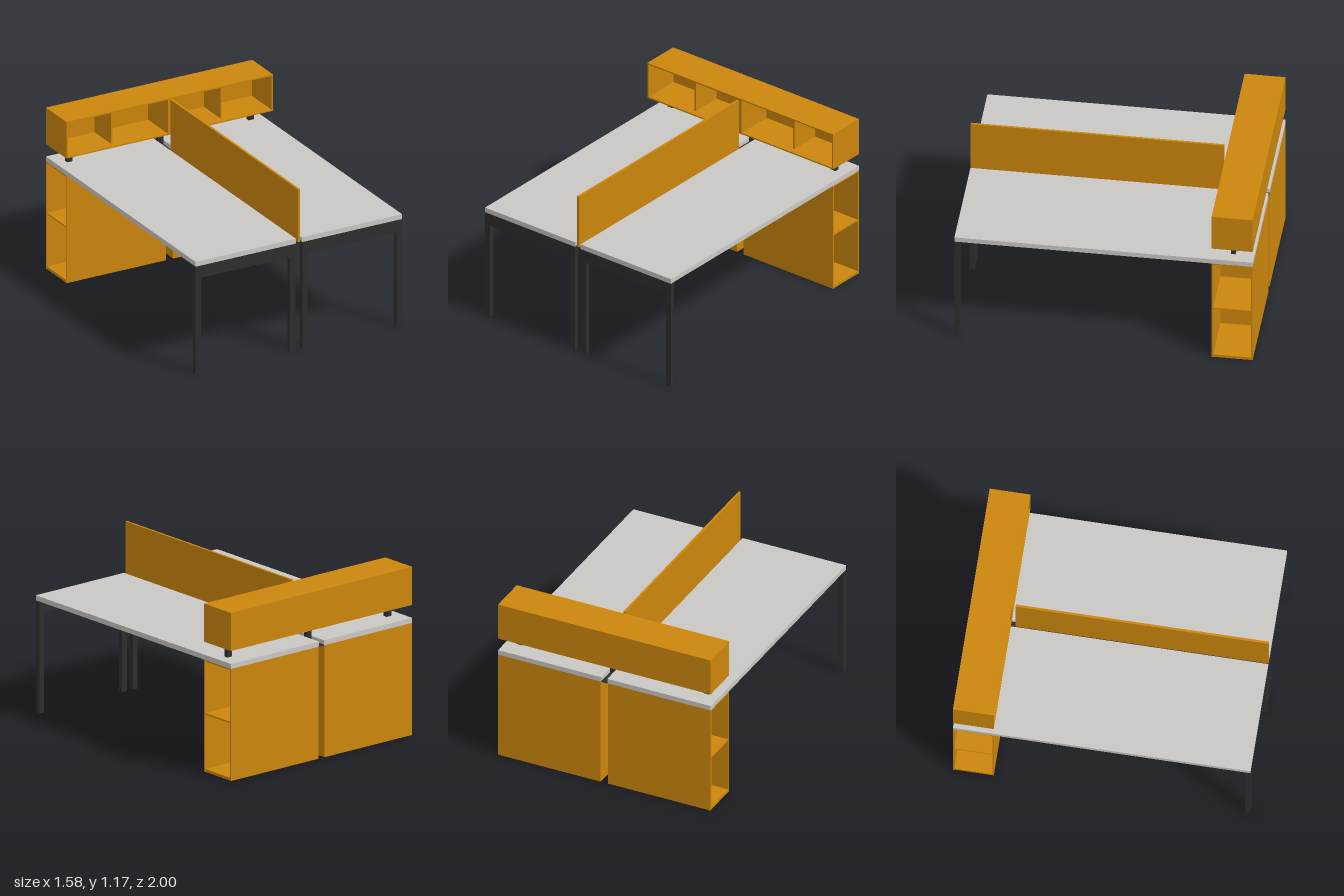
import * as THREE from 'three';

export function createModel() {
  const model = new THREE.Group();
  const mat = (name, color) => {
    const m = new THREE.MeshStandardMaterial({ color });
    m.name = name;
    return m;
  };
  const orange = mat('orange panel', 0xcc860c);
  const grey = mat('light grey top', 0xc9c8c4);
  const dark = mat('dark metal', 0x2e2e2e);

  // Box given by its limits; side mirrors it in x
  function box(parent, name, material, x0, x1, y0, y1, z0, z1, side = 1) {
    const geo = new THREE.BoxGeometry(x1 - x0, y1 - y0, z1 - z0);
    const mesh = new THREE.Mesh(geo, material);
    mesh.name = name;
    mesh.position.set(side * (x0 + x1) / 2, (y0 + y1) / 2, (z0 + z1) / 2);
    parent.add(mesh);
  }

  const IN = 0.027, OUT = 0.79; // inner and outer edge of each desk
  const BACK = -1, FACE = -0.725; // depth range of the storage units
  const T = 0.01; // panel thickness

  for (const s of [1, -1]) {
    const label = s > 0 ? 'left' : 'right';
    const desk = new THREE.Group();
    desk.name = label + 'Desk';
    model.add(desk);

    // Worktop and front leg frame
    box(desk, 'worktop', grey, 0.022, OUT, 0.78, 0.815, -1, 1, s);
    box(desk, 'innerLeg', dark, IN, 0.067, 0, 0.78, 0.965, 1, s);
    box(desk, 'outerLeg', dark, 0.748, OUT, 0, 0.78, 0.965, 1, s);
    box(desk, 'frontRail', dark, 0.067, 0.748, 0.69, 0.78, 0.967, 0.998, s);

    // Supporting cabinet: hollow inside, open niche at the outer end
    const cabinet = new THREE.Group();
    cabinet.name = label + 'Cabinet';
    desk.add(cabinet);
    const NICHE = 0.43;
    box(cabinet, 'frontPanel', orange, IN, OUT, 0, 0.78, FACE - T, FACE, s);
    box(cabinet, 'backPanel', orange, IN, OUT, 0, 0.78, BACK, BACK + T, s);
    box(cabinet, 'innerSide', orange, IN, IN + T, 0, 0.78, BACK + T, FACE - T, s);
    box(cabinet, 'nicheWall', orange, NICHE, NICHE + T, 0, 0.78, BACK + T, FACE - T, s);
    for (const [name, y, h] of [['nicheFloor', 0, 0.02], ['nicheShelf', 0.4, T], ['nicheTop', 0.769, T]]) {
      box(cabinet, name, orange, NICHE + T, OUT - 0.002, y, y + h, BACK + T, FACE - T, s);
    }

    // Overhead shelf: open front, one recessed partition
    const shelf = new THREE.Group();
    shelf.name = label + 'Shelf';
    model.add(shelf);
    const y0 = 0.905, y1 = 1.17;
    box(shelf, 'shelfTop', orange, 0, OUT, y1 - T, y1, BACK, FACE, s);
    box(shelf, 'shelfBottom', orange, 0, OUT, y0, y0 + T, BACK, FACE, s);
    box(shelf, 'shelfBack', orange, 0, OUT, y0 + T, y1 - T, BACK, BACK + T, s);
    box(shelf, 'shelfOuterSide', orange, OUT - T, OUT, y0 + T, y1 - T, BACK + T, FACE, s);
    box(shelf, 'shelfInnerSide', orange, 0, 0.013, y0 + T, y1 - T, BACK + T, FACE, s);
    box(shelf, 'shelfPartition', orange, 0.414, 0.424, y0 + T, y1 - T, BACK + T, FACE - 0.045, s);
    box(shelf, 'shelfPost', dark, 0.674, 0.714, 0.815, y0, -0.875, -0.845, s);
  }

  // Flared centre bracket carrying the shelf
  const flare = new THREE.Shape([
    [-0.02, 0.785], [0.02, 0.785], [0.02, 0.85], [0.055, 0.895],
    [0.055, 0.905], [-0.055, 0.905], [-0.055, 0.895], [-0.02, 0.85],
  ].map(([x, y]) => new THREE.Vector2(x, y)));
  const bracket = new THREE.Mesh(
    new THREE.ExtrudeGeometry(flare, { depth: 0.03, bevelEnabled: false }), dark);
  bracket.name = 'centreBracket';
  bracket.position.z = -0.875;
  model.add(bracket);

  // Rail closing the gap between the worktops, and the divider screen on it
  box(model, 'centreRail', dark, -0.022, 0.022, 0.779, 0.786, -1, 1);
  box(model, 'dividerScreen', orange, -0.008, 0.008, 0.786, 1.17, -0.7, 1);

  return model;
}
